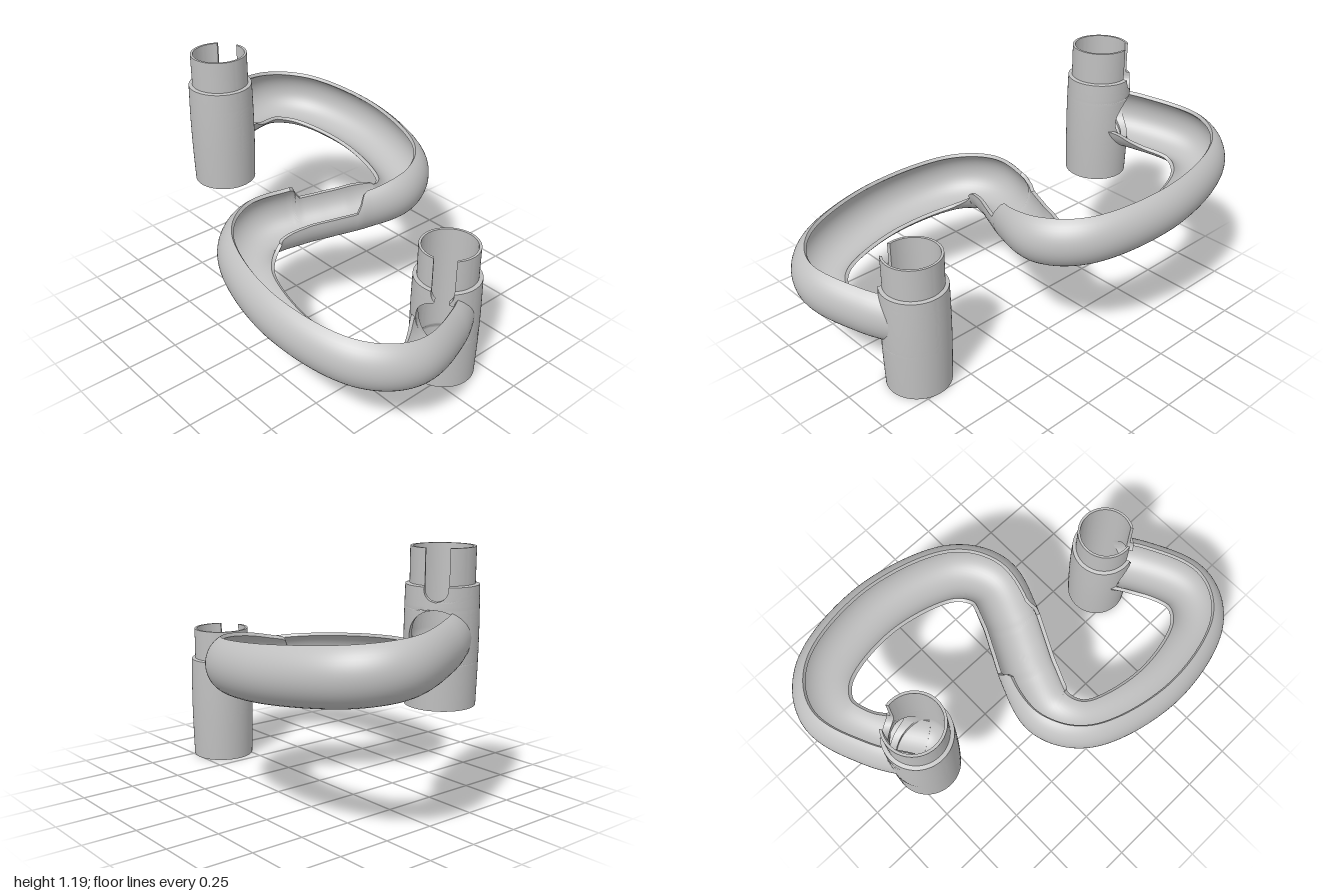
import * as THREE from 'three';
import { toCreasedNormals } from 'three/addons/utils/BufferGeometryUtils.js';

const rad = THREE.MathUtils.degToRad;
const step = THREE.MathUtils.smoothstep;

const POST = { x: 0.685, z: 0.105 };   // left post at (-x, z), right post mirrored through the centre
const HIGH_Y = 0.825, LOW_Y = 0.35;    // channel centre heights at the two posts

// Skin closed sections (outer points first, then inner points reversed) and cap both ends
function loft(sections) {
  const m = sections[0].length, pos = [];
  const quad = (a, b, c, d) => {
    for (const p of [a, b, c, a, c, d]) pos.push(p.x, p.y, p.z);
  };
  for (let j = 0; j < sections.length - 1; j++) {
    const s = sections[j], t = sections[j + 1];
    for (let i = 0; i < m; i++) {
      const k = (i + 1) % m;
      quad(s[i], s[k], t[k], t[i]);
    }
  }
  const first = sections[0], last = sections[sections.length - 1];
  for (let i = 0; i < m / 2 - 1; i++) {
    quad(last[i], last[i + 1], last[m - 2 - i], last[m - 1 - i]);
    quad(first[m - 1 - i], first[m - 2 - i], first[i + 1], first[i]);
  }
  const g = new THREE.BufferGeometry();
  g.setAttribute('position', new THREE.Float32BufferAttribute(pos, 3));
  return toCreasedNormals(g, rad(35));
}

// Hollow post: barrel body, narrower spigot, slot from the top and a round mouth for the channel
function postGeometry(direction, mouthY) {
  const rows = [];
  for (let i = 0; i <= 84; i++) {
    const y = 0.515 * i / 84;
    const bulge = 0.152 + 0.006 * Math.sin(Math.PI * Math.min(1, y / 0.6));
    rows.push([y, bulge, 0.14 - 0.015 * step(y, 0.12, 0.15)]);
  }
  rows.push([0.519, 0.137, 0.125]);
  for (let i = 1; i <= 8; i++) rows.push([0.519 + 0.153 * i / 8, 0.137, 0.125]);

  const slotR = 0.05, slotY = 0.505, mouthR = 0.115;
  const halfWidth = y => {
    const circle = (r, c) => Math.sqrt(Math.max(0, r * r - (y - c) ** 2));
    const slot = y > slotY ? slotR : circle(slotR, slotY);
    return Math.max(slot, circle(mouthR, mouthY));
  };
  const n = 72;
  return loft(rows.map(([y, ro, ri]) => {
    const w = halfWidth(y);
    const arc = r => {
      const gap = Math.asin(w / r), pts = [];
      for (let i = 0; i <= n; i++) {
        const a = direction + gap + (2 * Math.PI - 2 * gap) * i / n;
        pts.push(new THREE.Vector3(r * Math.sin(a), y, r * Math.cos(a)));
      }
      return pts;
    };
    return [...arc(ro), ...arc(ri).reverse()];
  }));
}

// S-shaped channel whose walls bank up on the outside of each bend
function channelGeometry() {
  const half = [
    [-POST.x, POST.z], [-0.79, -0.07], [-0.86, -0.32], [-0.757, -0.472],
    [-0.38, -0.56], [0.01, -0.465], [0.11, -0.32], [0.065, -0.14]
  ];
  const plan = [...half, [0, 0], ...half.map(([x, z]) => [-x, -z]).reverse()];
  const path = new THREE.CatmullRomCurve3(plan.map(([x, z]) => new THREE.Vector3(x, 0, z)));
  path.arcLengthDivisions = 800;

  // Lip elevation in degrees: high outside, level in the middle, low inside, raised again at the post
  const lip = u => 60 - 14 * step(u, 0.40, 0.46) - 41 * step(u, 0.462, 0.474)
    - 43 * step(u, 0.53, 0.66) + 25 * step(u, 0.92, 0.98);
  const up = new THREE.Vector3(0, 1, 0), n = 28, count = 240;
  const sections = [];
  for (let j = 0; j <= count; j++) {
    const u = 0.987 * j / count;
    const c = path.getPointAt(u);
    c.y = HIGH_Y + (LOW_Y - HIGH_Y) * u;
    const side = path.getTangentAt(u).cross(up).normalize();
    const from = rad(lip(1 - u)), to = rad(-180 - lip(u));
    const arc = r => {
      const pts = [];
      for (let i = 0; i <= n; i++) {
        const a = from + (to - from) * i / n;
        const p = c.clone().addScaledVector(side, r * Math.cos(a)).addScaledVector(up, r * Math.sin(a));
        // Keep the lower end flush with the bore of its post
        const dx = p.x - POST.x, dz = p.z + POST.z, d = Math.hypot(dx, dz);
        if (d < 0.13) {
          p.x += dx * (0.13 / d - 1);
          p.z += dz * (0.13 / d - 1);
        }
        pts.push(p);
      }
      return pts;
    };
    sections.push([...arc(0.14), ...arc(0.122).reverse()]);
  }
  return loft(sections);
}

export function createModel() {
  const model = new THREE.Group();
  model.name = 'marbleRunCurve';
  const grey = new THREE.MeshStandardMaterial({ color: 0xc0c0c0, side: THREE.DoubleSide });
  grey.name = 'grey plastic';

  const add = (name, geometry, x, y, z) => {
    const mesh = new THREE.Mesh(geometry, grey);
    mesh.name = name;
    mesh.position.set(x, y, z);
    model.add(mesh);
    return mesh;
  };

  const facing = rad(34);
  add('upperPost', postGeometry(facing + Math.PI, HIGH_Y - 0.518), -POST.x, 0.518, POST.z);
  add('lowerPost', postGeometry(facing, LOW_Y), POST.x, 0, -POST.z);
  add('channel', channelGeometry(), 0, 0, 0);

  // Rounded back of the channel inside the upper post
  const bowl = new THREE.SphereGeometry(0.124, 32, 16, 0, Math.PI, Math.PI / 2, Math.PI / 2);
  add('upperPostBowl', bowl, -POST.x, HIGH_Y, POST.z).rotation.y = facing;
  return model;
}
